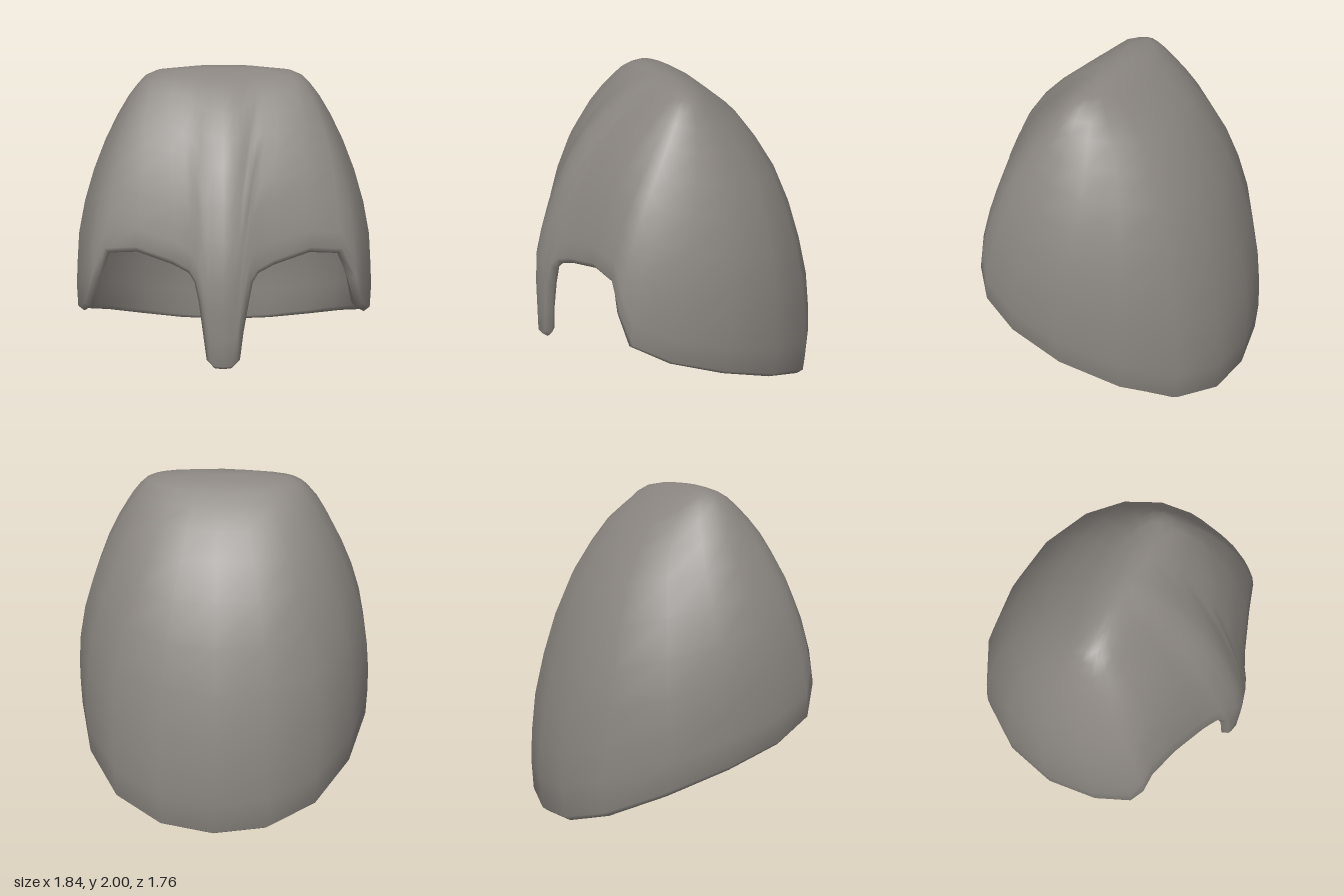
import * as THREE from 'three';

const THICK = 0.07, BEVEL = 0.03;

// Rim of one half, nose to nape: [x, z, rim height]; x and z also give the plan outline
const RIM = [
  [0, 0.88, 0.405], [0.05, 0.87, 0.405], [0.08, 0.86, 0.43], [0.1, 0.855, 0.6],
  [0.125, 0.845, 0.78], [0.155, 0.835, 0.91], [0.2, 0.81, 0.97], [0.3, 0.77, 1.01],
  [0.53, 0.695, 1.06], [0.72, 0.625, 1.03], [0.79, 0.58, 0.85], [0.83, 0.52, 0.66],
  [0.905, 0.3, 0.55], [0.925, -0.03, 0.435], [0.825, -0.385, 0.29],
  [0.62, -0.68, 0.15], [0.33, -0.84, 0.06], [0, -0.885, 0.03],
];
// Height profiles: [y, half width], [y, front z], [y, back z]
const WIDTH = [[0, 0.9], [0.3, 0.91], [0.47, 0.92], [0.7, 0.925], [1, 0.9], [1.26, 0.84],
  [1.5, 0.75], [1.7, 0.65], [1.85, 0.56], [1.945, 0.48], [1.98, 0.4], [2, 0.2]];
const FRONT = [[0, 0.88], [0.86, 0.88], [1, 0.85], [1.23, 0.78], [1.5, 0.66], [1.7, 0.52],
  [1.85, 0.37], [1.95, 0.23], [1.98, 0.16], [2, 0.1]];
const BACK = [[0, 0.86], [0.1, 0.875], [0.33, 0.885], [0.7, 0.84], [1.1, 0.74], [1.5, 0.57],
  [1.77, 0.36], [1.93, 0.16], [1.98, 0.07], [2, 0.01]];
const LEVELS = [0, 0.1, 0.2, 0.32, 0.45, 0.58, 0.7, 0.8, 0.88, 0.93, 0.965, 0.986, 1];

const lerp = THREE.MathUtils.lerp;

function lookup(table, t) {
  let i = 0;
  while (i < table.length - 2 && t > table[i + 1][0]) i++;
  const [a, b] = [table[i], table[i + 1]];
  return lerp(a[1], b[1], THREE.MathUtils.clamp((t - a[0]) / (b[0] - a[0]), 0, 1));
}

const RADIUS = RIM.map(([x, z]) => [Math.atan2(x, z), Math.hypot(x, z)]);

// Point of the outer surface at angle a (0 = front, PI = back) and height y
function surface(a, y, side) {
  const r = lookup(RADIUS, a);
  const px = r * Math.sin(a), pz = r * Math.cos(a);
  const zc = 0.045 * Math.max(0, y - 1);
  const z = pz > 0 ? pz / 0.88 * (lookup(FRONT, y) - zc) : pz / 0.885 * (lookup(BACK, y) + zc);
  return new THREE.Vector3(side * px / 0.925 * lookup(WIDTH, y), y, zc + z);
}

// Skin closed rings, with optional centre points closing the first and last ring
function skin(rings, first, last) {
  const n = rings[0].length, pts = rings.flat(), index = [];
  for (let i = 0; i < rings.length - 1; i++) {
    for (let j = 0; j < n; j++) {
      const k = (j + 1) % n, a = i * n, b = a + n;
      index.push(a + j, a + k, b + k, a + j, b + k, b + j);
    }
  }
  const end = (rings.length - 1) * n;
  const count = pts.length;
  for (let j = 0; j < n; j++) {
    const k = (j + 1) % n;
    if (last) index.push(end + j, end + k, count);
    if (first) index.push(k, j, count + 1);
  }
  if (last) pts.push(last);
  if (first) pts.push(first);
  const g = new THREE.BufferGeometry().setFromPoints(pts);
  g.setIndex(index);
  g.computeVertexNormals();
  return g;
}

export function createModel() {
  const group = new THREE.Group();
  group.name = 'helmet';

  // Columns run from the rim to the crest, fanning out above the nose guard
  const half = RIM.map(([, , y], j) => {
    const rim = RADIUS[j][0];
    return { rim, top: lerp(rim, j / (RIM.length - 1) * Math.PI, 0.4), y, side: 1 };
  });
  const mirrored = half.slice(1, -1).reverse().map(c => ({ ...c, side: -1 }));
  const columns = [...half, ...mirrored];
  const n = columns.length;

  // Outer surface
  const outer = LEVELS.map(v => columns.map(c =>
    surface(lerp(c.rim, c.top, v * v), lerp(c.y, 2, v), c.side)));
  const crest = new THREE.Vector3(0, 2, 0.045);
  const normals = skin(outer, null, crest).attributes.normal;
  const normalAt = i => new THREE.Vector3().fromBufferAttribute(normals, i);

  // Inner surface, set in along the normals and closed below the crest
  const inner = outer.slice(0, 9).map((ring, i) => ring.map((p, j) =>
    p.clone().addScaledVector(normalAt(i * n + j), -THICK)));
  const ceiling = new THREE.Vector3(0, 1.91, 0.045);

  // Rounded rim bulging out between the two surfaces
  const edge = outer[0].map((p, j) => {
    const out = outer[0][(j + 1) % n].clone().sub(outer[0][(j + n - 1) % n])
      .cross(normalAt(j)).normalize();
    return p.clone().lerp(inner[0][j], 0.5).addScaledVector(out, BEVEL);
  });

  const geometry = skin([...inner.reverse(), edge, ...outer], ceiling, crest);
  const shell = new THREE.Mesh(geometry, new THREE.MeshStandardMaterial({ color: 0x8a8580 }));
  shell.name = 'shellWithNoseGuard';
  group.add(shell);
  return group;
}
